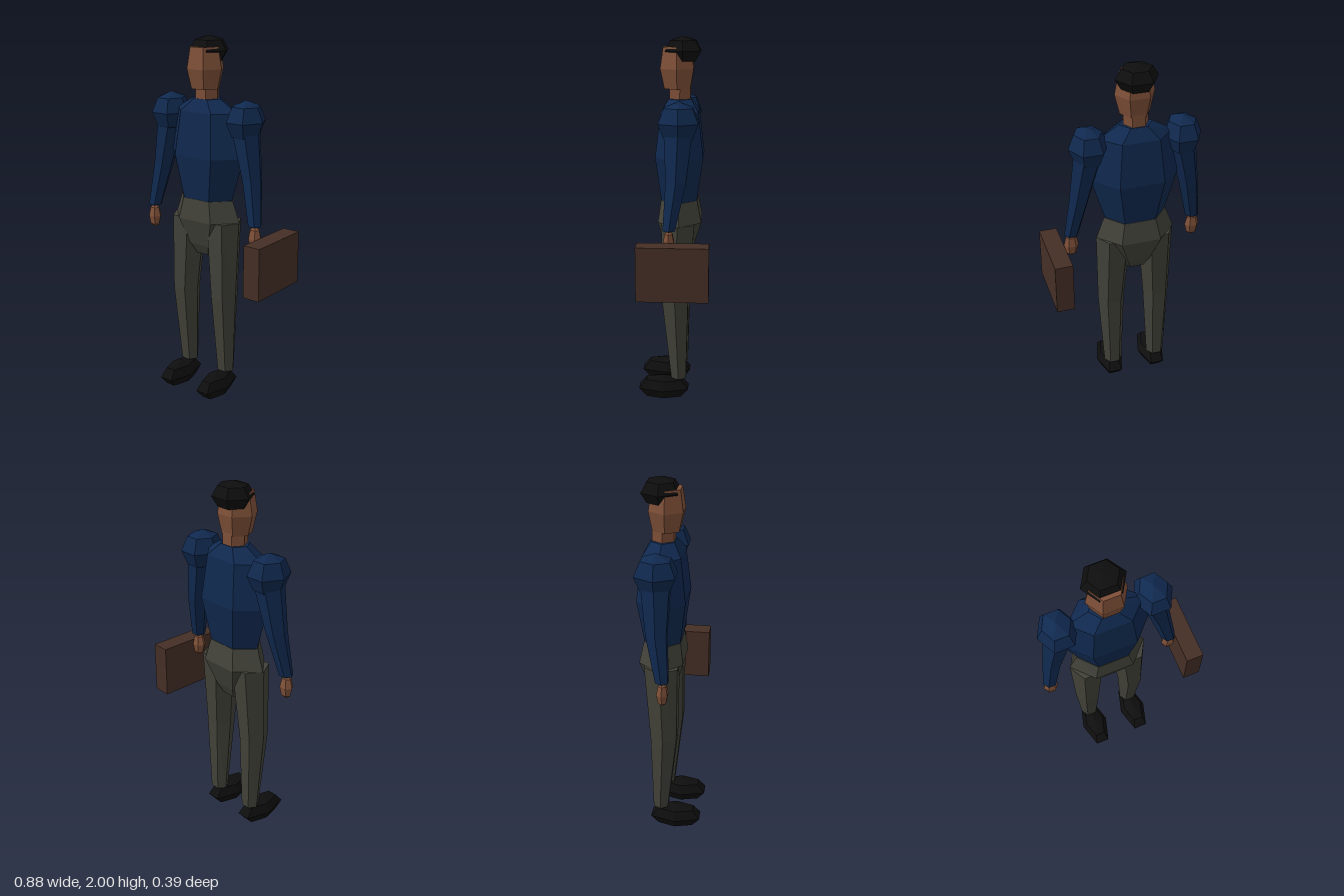
import * as THREE from 'three';

const MID = -0.05; // x of the figure's own centre line
const SIDES = 6;

function material(name, color) {
  const m = new THREE.MeshStandardMaterial({ color });
  m.name = name;
  return m;
}

// Faceted normals for the low-poly look
function faceted(geometry) {
  const g = geometry.index ? geometry.toNonIndexed() : geometry;
  g.computeVertexNormals();
  return g;
}

// Capped hexagonal loft; rings run bottom to top as [x, y, z, tip half-width, half-depth]
function loft(rings) {
  const pos = [];
  const index = [];
  for (const [x, y, z, rx, hz] of rings) {
    for (let i = 0; i < SIDES; i++) {
      const a = (i / SIDES) * Math.PI * 2;
      pos.push(x + rx * Math.cos(a), y, z + (hz / Math.sin(Math.PI / 3)) * Math.sin(a));
    }
  }
  const last = (rings.length - 1) * SIDES;
  for (let i = 0; i < SIDES; i++) {
    const j = (i + 1) % SIDES;
    for (let r = 0; r < last; r += SIDES) {
      const a = r + i, b = r + j, c = b + SIDES, d = a + SIDES;
      index.push(a, d, c, a, c, b);
    }
    if (i > 0 && i < SIDES - 1) {
      index.push(0, i, i + 1);
      index.push(last, last + i + 1, last + i);
    }
  }
  const g = new THREE.BufferGeometry();
  g.setAttribute('position', new THREE.Float32BufferAttribute(pos, 3));
  g.setIndex(index);
  return faceted(g);
}

// Six-sided ball stretched to the given radii
function ball(x, y, z, rx, ry, rz) {
  const g = new THREE.SphereGeometry(1, SIDES, 4);
  g.scale(rx, ry, rz);
  g.translate(x, y, z);
  return faceted(g);
}

export function createModel() {
  const group = new THREE.Group();
  const shirt = material('navy shirt', 0x10294f);
  const trousers = material('grey trousers', 0x42423a);
  const skin = material('skin', 0x7f5038);
  const black = material('black', 0x0e0e0e);
  const leather = material('brown leather', 0x452f26);

  function add(name, geometry, mat) {
    const mesh = new THREE.Mesh(geometry, mat);
    mesh.name = name;
    group.add(mesh);
  }

  // Trunk
  add('torso', loft([
    [MID, 1.135, -0.025, 0.167, 0.095],
    [MID, 1.375, -0.027, 0.24, 0.127],
    [MID, 1.61, -0.027, 0.2, 0.1],
    [MID, 1.675, -0.027, 0.088, 0.06],
  ]), shirt);
  add('pelvis', loft([
    [MID, 0.815, -0.027, 0.074, 0.045],
    [MID, 0.875, -0.027, 0.122, 0.075],
    [MID, 1.02, -0.029, 0.217, 0.117],
    [MID, 1.137, -0.025, 0.173, 0.097],
  ]), trousers);

  // Head
  add('neck', loft([
    [MID, 1.65, -0.027, 0.067, 0.056],
    [MID, 1.74, -0.027, 0.067, 0.056],
  ]), skin);
  add('head', loft([
    [MID, 1.728, -0.013, 0.08, 0.068],
    [MID, 1.833, -0.011, 0.106, 0.088],
    [MID, 1.945, -0.011, 0.085, 0.073],
  ]), skin);
  add('hair', ball(MID, 1.925, -0.042, 0.113, 0.075, 0.108), black);

  // Limbs, mirrored about the centre line
  for (const [side, s] of [['left', 1], ['right', -1]]) {
    const at = (offset) => MID + s * offset;
    add(side + 'Shoulder', ball(at(0.25), 1.578, -0.03, 0.105, 0.11, 0.119), shirt);
    add(side + 'Sleeve', loft([
      [at(0.345), 1.04, 0.013, 0.039, 0.032],
      [at(0.302), 1.28, -0.02, 0.054, 0.052],
      [at(0.25), 1.54, -0.03, 0.078, 0.072],
    ]), shirt);
    add(side + 'Hand', ball(at(0.347), 0.973, 0.015, 0.041, 0.069, 0.033), skin);
    add(side + 'Leg', loft([
      [at(0.13), 0.135, -0.027, 0.052, 0.04],
      [at(0.133), 0.59, -0.008, 0.076, 0.07],
      [at(0.117), 1.02, -0.022, 0.1, 0.088],
    ]), trousers);
    add(side + 'Shoe', ball(at(0.13), 0.072, 0.056, 0.077, 0.07, 0.158), black);
  }

  // Briefcase beside the left hand
  const box = new THREE.BoxGeometry(0.097, 0.285, 0.37);
  box.translate(0.389, 0.8425, -0.01);
  add('briefcase', box, leather);

  return group;
}
